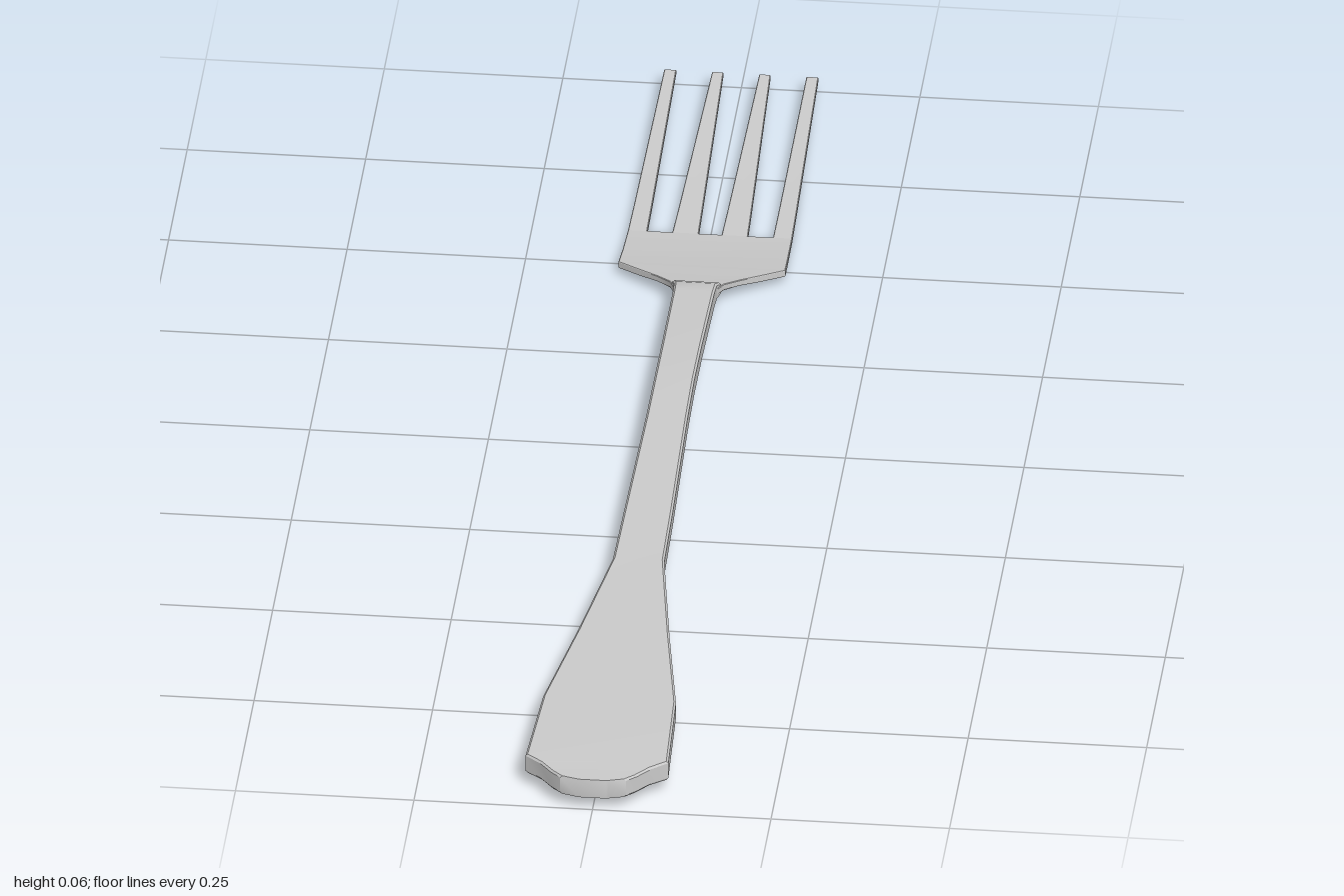
import * as THREE from 'three';
import { toCreasedNormals } from 'three/addons/utils/BufferGeometryUtils.js';

const material = new THREE.MeshStandardMaterial({ color: 0xcccccc });

// Loft of bevelled rectangular sections; stations run front to back: [z, xMin, xMax, yMin, yMax]
function loft(name, stations, bevel) {
  const positions = [], index = [], n = 8;
  for (const [z, x0, x1, y0, y1] of stations) {
    const b = bevel;
    const ring = [
      [x1 - b, y0], [x1, y0 + b], [x1, y1 - b], [x1 - b, y1],
      [x0 + b, y1], [x0, y1 - b], [x0, y0 + b], [x0 + b, y0],
    ];
    for (const [x, y] of ring) positions.push(x, y, z);
  }
  const last = (stations.length - 1) * n;
  for (let a = 0; a < last; a += n) {
    for (let j = 0; j < n; j++) {
      const k = (j + 1) % n;
      index.push(a + j, a + n + j, a + k, a + n + j, a + n + k, a + k);
    }
  }
  // End caps
  for (let j = 1; j < n - 1; j++) {
    index.push(0, j, j + 1, last, last + j + 1, last + j);
  }
  const geometry = new THREE.BufferGeometry();
  geometry.setAttribute('position', new THREE.Float32BufferAttribute(positions, 3));
  geometry.setIndex(index);
  const mesh = new THREE.Mesh(toCreasedNormals(geometry, Math.PI / 7), material);
  mesh.name = name;
  return mesh;
}

// Symmetric station from half width, bottom and top
const sym = ([z, w, y0, y1]) => [z, -w, w, y0, y1];

export function createModel() {
  const group = new THREE.Group();
  group.name = 'fork';

  // Handle: rounded broad end, taper, slim arched shank
  group.add(loft('handle', [
    [1.0, 0.022, 0.020, 0.049],
    [0.993, 0.046, 0.020, 0.049],
    [0.98, 0.06, 0.020, 0.049],
    [0.957, 0.078, 0.020, 0.049],
    [0.94, 0.1, 0.020, 0.050],
    [0.77, 0.093, 0.018, 0.047],
    [0.58, 0.064, 0.017, 0.045],
    [0.38, 0.036, 0.017, 0.045],
    [0.25, 0.034, 0.019, 0.047],
    [0.0, 0.029, 0.027, 0.055],
    [-0.1, 0.028, 0.029, 0.058],
    [-0.2, 0.028, 0.027, 0.055],
    [-0.36, 0.029, 0.019, 0.047],
    [-0.385, 0.03, 0.018, 0.045],
    [-0.4, 0.034, 0.018, 0.038],
  ].map(sym), 0.003));

  // Head: thin shoulders flaring from the shank and dipping to the tine roots
  group.add(loft('head', [
    [-0.385, 0.03, 0.026, 0.036],
    [-0.405, 0.038, 0.023, 0.033],
    [-0.425, 0.058, 0.020, 0.029],
    [-0.445, 0.085, 0.016, 0.026],
    [-0.47, 0.117, 0.012, 0.022],
    [-0.52, 0.116, 0.005, 0.014],
    [-0.58, 0.115, 0.001, 0.009],
  ].map(sym), 0.001));

  // Tines: [root inner, root outer, tip inner, tip outer] for the model's left, mirrored
  const tines = [
    ['innerTine', 0.016, 0.053, 0.025, 0.041],
    ['outerTine', 0.088, 0.115, 0.091, 0.108],
  ];
  for (const [name, r0, r1, t0, t1] of tines) {
    for (const side of [1, -1]) {
      const stations = [
        [-0.58, 0, 0.001, 0.009],
        [-0.65, 1 / 6, 0.002, 0.01],
        [-0.8, 0.524, 0.008, 0.016],
        [-1.0, 1, 0.017, 0.024],
      ].map(([z, t, y0, y1]) => {
        const a = side * THREE.MathUtils.lerp(r0, t0, t);
        const b = side * THREE.MathUtils.lerp(r1, t1, t);
        return [z, Math.min(a, b), Math.max(a, b), y0, y1];
      });
      group.add(loft((side > 0 ? 'left ' : 'right ') + name, stations, 0.001));
    }
  }
  return group;
}
